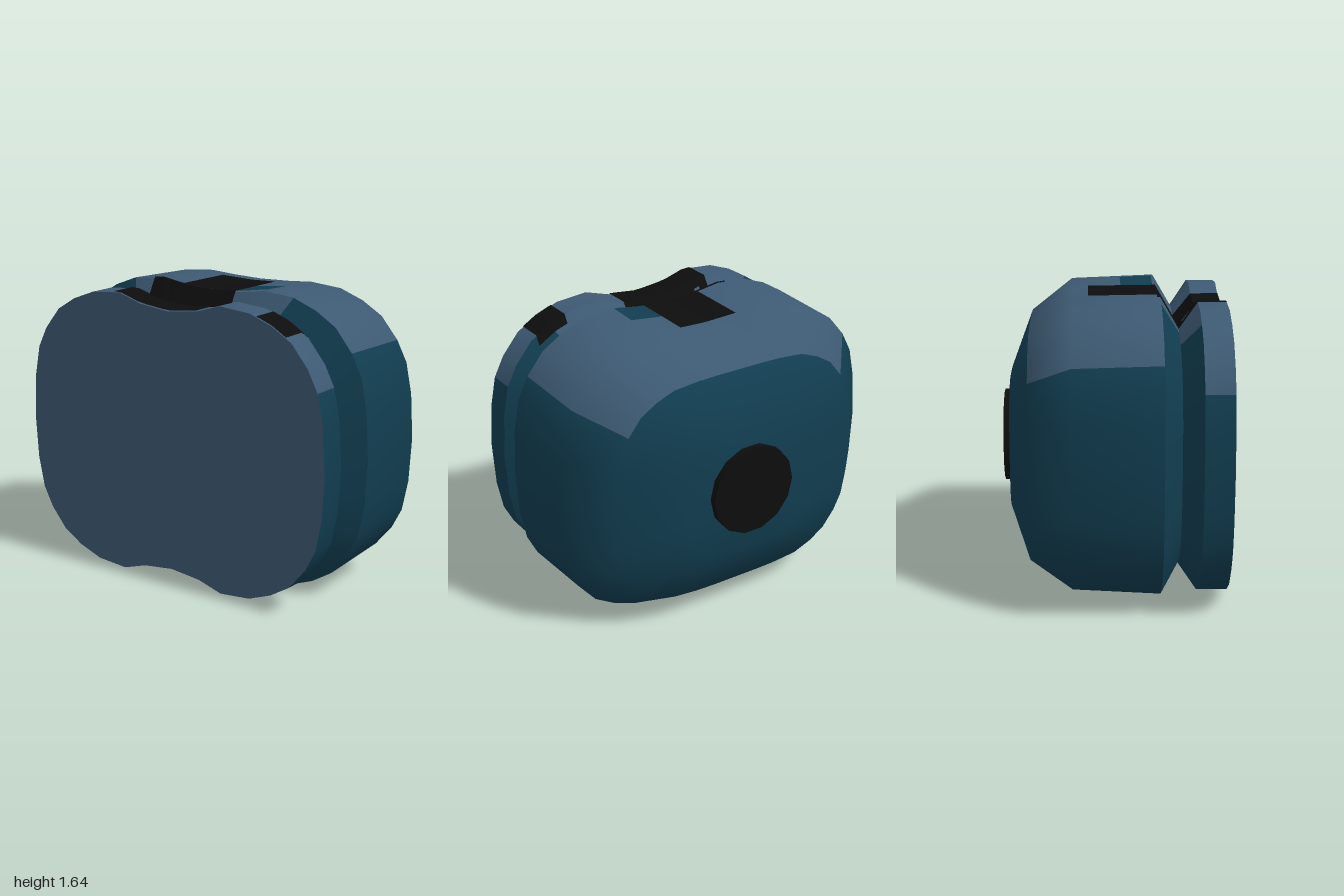
import * as THREE from 'three';

// Quarter outline [z, y] of the rounded cross-section, from the top to the side
const QUARTER = [[0, 1], [0.19, 1], [0.34, 0.995], [0.53, 0.975], [0.67, 0.91],
  [0.79, 0.82], [0.89, 0.67], [0.95, 0.525], [0.985, 0.31], [1, 0]];
const DIP = [1, 0.7];

// Sections along x: x, half width, z offset, centre y, half height, dip at the middle
const SECTIONS = [
  [-0.605, 0.98, -0.02, 0.82, 0.79, 0.07],
  [-0.45, 0.98, -0.02, 0.82, 0.79, 0.07],
  [-0.35, 0.84, 0, 0.815, 0.655, 0.05],
  [-0.25, 1, 0, 0.82, 0.82, 0.04],
  [0.22, 1, 0, 0.825, 0.795, 0.02],
  [0.45, 0.78, 0, 0.805, 0.645, 0],
  [0.56, 0.4, 0, 0.79, 0.37, 0],
];

function quarterPoints([x, hz, z0, cy, hy, dip]) {
  return QUARTER.map(([z, v], i) => ({ x, z: z * hz, z0, cy, h: v * hy - dip * (DIP[i] ?? 0) }));
}

// Closed ring: top -> +z -> bottom -> -z
function ring(section) {
  const q = quarterPoints(section), n = q.length - 1, pts = [];
  const add = (p, sz, sy) => pts.push([p.x, p.cy + sy * p.h, p.z0 + sz * p.z]);
  for (let i = 0; i < n; i++) add(q[i], 1, 1);
  for (let i = n; i > 0; i--) add(q[i], 1, -1);
  for (let i = 0; i < n; i++) add(q[i], -1, -1);
  for (let i = n; i > 0; i--) add(q[i], -1, 1);
  return pts;
}

// Loft through sections; upper[b] is how many steps either side of the top get the first colour
function loft(sections, upper, capEnd) {
  const rings = sections.map(ring), n = rings[0].length;
  const pos = rings.flat(2), first = [], second = [];
  upper.forEach((k, b) => {
    for (let i = 0; i < n; i++) {
      const j = (i + 1) % n, a = b * n, c = a + n;
      (i < k || i >= n - k ? first : second).push(a + i, a + j, c + i, a + j, c + j, c + i);
    }
  });
  if (capEnd) {
    const s = sections.at(-1), base = (sections.length - 1) * n;
    pos.push(s[0], s[3], s[2]);
    for (let i = 0; i < n; i++) second.push(base + i, base + (i + 1) % n, base + n);
  }
  const g = new THREE.BufferGeometry();
  g.setAttribute('position', new THREE.Float32BufferAttribute(pos, 3));
  g.setIndex([...first, ...second]);
  g.addGroup(0, first.length, 0);
  g.addGroup(first.length, second.length, 1);
  g.computeVertexNormals();
  return g;
}

// Height of the upper surface at (x, z)
function topY(x, z) {
  let s = 0;
  while (s < SECTIONS.length - 2 && x > SECTIONS[s + 1][0]) s++;
  const A = SECTIONS[s], B = SECTIONS[s + 1], t = (x - A[0]) / (B[0] - A[0]);
  const q = quarterPoints(A.map((v, i) => v + (B[i] - v) * t));
  const d = Math.abs(z - q[0].z0);
  let i = 0;
  while (i < q.length - 2 && d > q[i + 1].z) i++;
  const f = Math.min(1, (d - q[i].z) / (q[i + 1].z - q[i].z));
  return q[0].cy + q[i].h + (q[i + 1].h - q[i].h) * f;
}

// Thin sheet that follows the upper surface
function sheet(x0, x1, z0, z1) {
  const xs = [x0, ...SECTIONS.map(s => s[0]).filter(x => x > x0 && x < x1), x1];
  const steps = 10, pos = [], idx = [];
  xs.forEach((x, c) => {
    for (let k = 0; k <= steps; k++) {
      const z = z0 + (z1 - z0) * k / steps;
      pos.push(x, topY(x, z) + 0.006, z);
      if (c && k) {
        const b = c * (steps + 1) + k, a = b - steps - 1;
        idx.push(a - 1, a, b - 1, a, b, b - 1);
      }
    }
  });
  const g = new THREE.BufferGeometry();
  g.setAttribute('position', new THREE.Float32BufferAttribute(pos, 3));
  g.setIndex(idx);
  const flat = g.toNonIndexed();
  flat.computeVertexNormals();
  return flat;
}

export function createModel() {
  const material = (name, color, side = THREE.FrontSide) =>
    Object.assign(new THREE.MeshStandardMaterial({ color, side }), { name });
  const slate = material('slate blue', 0x3d5a73);
  const teal = material('dark teal', 0x113d50, THREE.DoubleSide);
  const black = material('black', 0x0d0d0d, THREE.DoubleSide);

  const group = new THREE.Group();
  const add = (name, geometry, mat) => {
    const mesh = new THREE.Mesh(geometry, mat);
    mesh.name = name;
    group.add(mesh);
    return mesh;
  };

  // Shell: flange, two sloping groove walls and the rounded body
  const two = [slate, teal];
  add('flange', loft(SECTIONS.slice(0, 2), [7]), two);
  add('grooveOuterWall', loft(SECTIONS.slice(1, 3), [4]), two);
  add('grooveInnerWall', loft(SECTIONS.slice(2, 4), [3]), two);
  add('body', loft(SECTIONS.slice(3), [6, 6, 0], true), two);

  // Flat plate closing the flange
  const outline = ring(SECTIONS[0]).map(([, y, z]) => new THREE.Vector2(z, y));
  const plate = new THREE.ShapeGeometry(new THREE.Shape(outline));
  plate.rotateY(-Math.PI / 2);
  plate.translate(SECTIONS[0][0], 0, 0);
  add('backPlate', plate, slate);

  // Round button on the end
  const button = new THREE.CylinderGeometry(0.258, 0.258, 0.05, 14);
  button.rotateZ(-Math.PI / 2);
  button.translate(0.575, 0.79, 0);
  add('endButton', button, black);

  // Markings lying on the top
  add('wideStrap', sheet(-0.605, -0.235, -0.39, 0.16), black);
  add('narrowStrap', sheet(-0.235, 0.13, -0.2, 0.16), black);
  add('flangePatch', sheet(-0.605, -0.42, 0.54, 0.72), black);
  add('topPatch', sheet(-0.235, -0.055, 0.16, 0.35), teal);
  return group;
}
